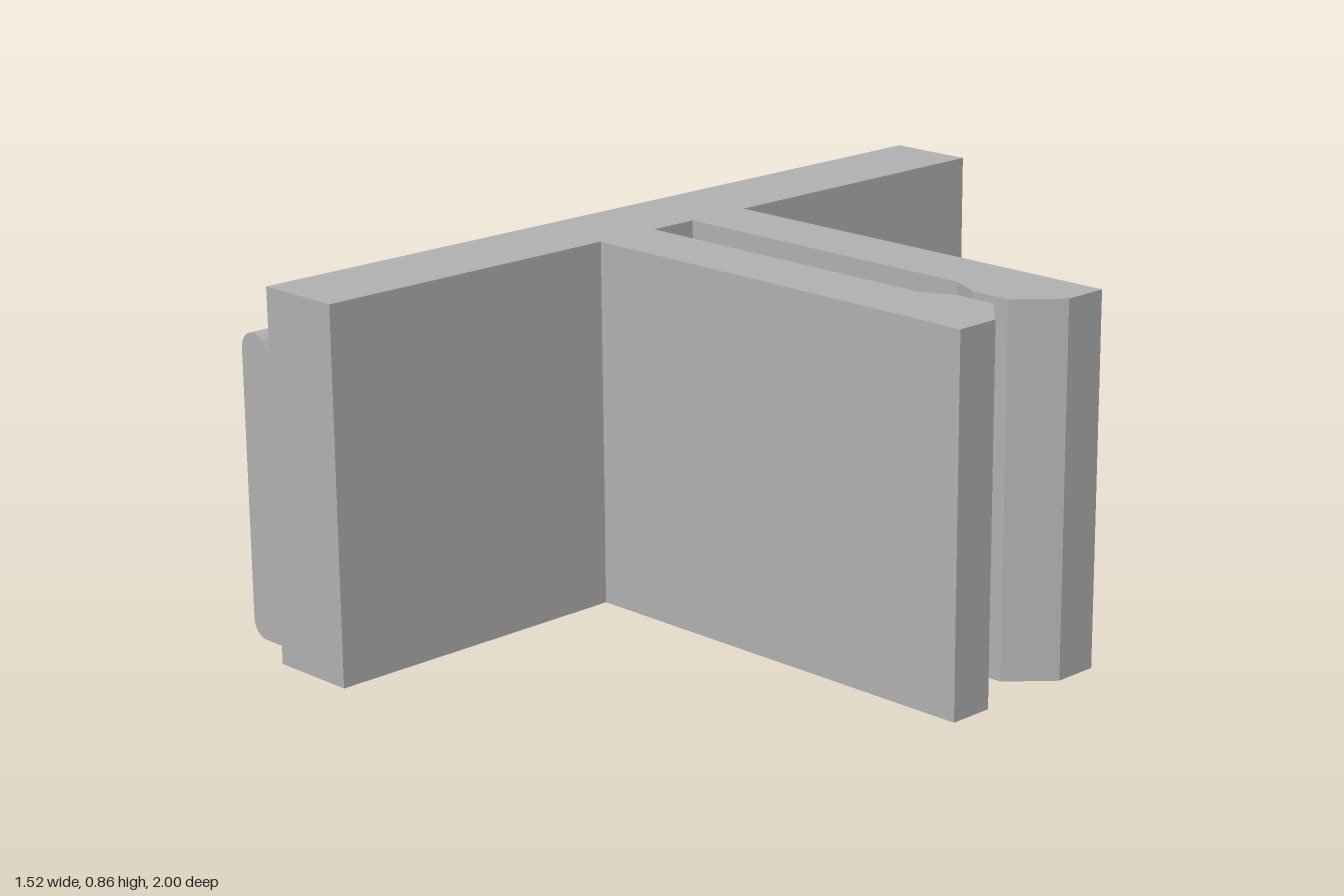
import * as THREE from 'three';
import { toCreasedNormals } from 'three/addons/utils/BufferGeometryUtils.js';

export function createModel() {
  const model = new THREE.Group();
  model.name = 'clipBracket';
  const grey = new THREE.MeshStandardMaterial({ color: 0xb0b0b0 });
  grey.name = 'grey plastic';

  const add = (name, geometry) => {
    const mesh = new THREE.Mesh(geometry, grey);
    mesh.name = name;
    model.add(mesh);
    return mesh;
  };

  // Cross plate with two clip arms, drawn in plan as one mirrored outline
  const half = [
    [-0.53, 1], [-0.316, 1], [-0.316, 0.227], [0.758, 0.227], [0.758, 0.118],
    [0.67, 0.024], [0.57, 0.024], [0.495, 0.061], [-0.316, 0.061],
  ];
  const outline = [...half, ...half.map(([x, z]) => [x, -z]).reverse()];
  const plan = new THREE.Shape(outline.map(([x, z]) => new THREE.Vector2(x, z)));
  const body = new THREE.ExtrudeGeometry(plan, { depth: 0.858, bevelEnabled: false });
  body.rotateX(-Math.PI / 2);
  add('plateAndClipArms', body);

  // Rail on the outer face: rounded outer edges and a sloping top
  const r = 0.042, left = -0.72, top = 0.714, slope = 0.685;
  const profile = new THREE.Shape();
  profile.moveTo(-0.53, 0);
  profile.lineTo(-0.53, 0.56);
  profile.absarc(left + r, top - r, r, slope, Math.PI, false);
  profile.absarc(left + r, r, r, Math.PI, Math.PI * 1.5, false);
  profile.closePath();
  const rail = new THREE.ExtrudeGeometry(profile, { depth: 1.86, bevelEnabled: false, curveSegments: 12 });
  rail.translate(0, 0, -0.93);
  add('rail', toCreasedNormals(rail, 0.5));

  // Small half-round locating bump on the rail
  const bump = new THREE.SphereGeometry(0.039, 24, 10, 0, Math.PI * 2, 0, Math.PI / 2);
  bump.rotateZ(Math.PI / 2);
  add('locatingBump', bump).position.set(left, 0.31, 0.64);

  return model;
}
